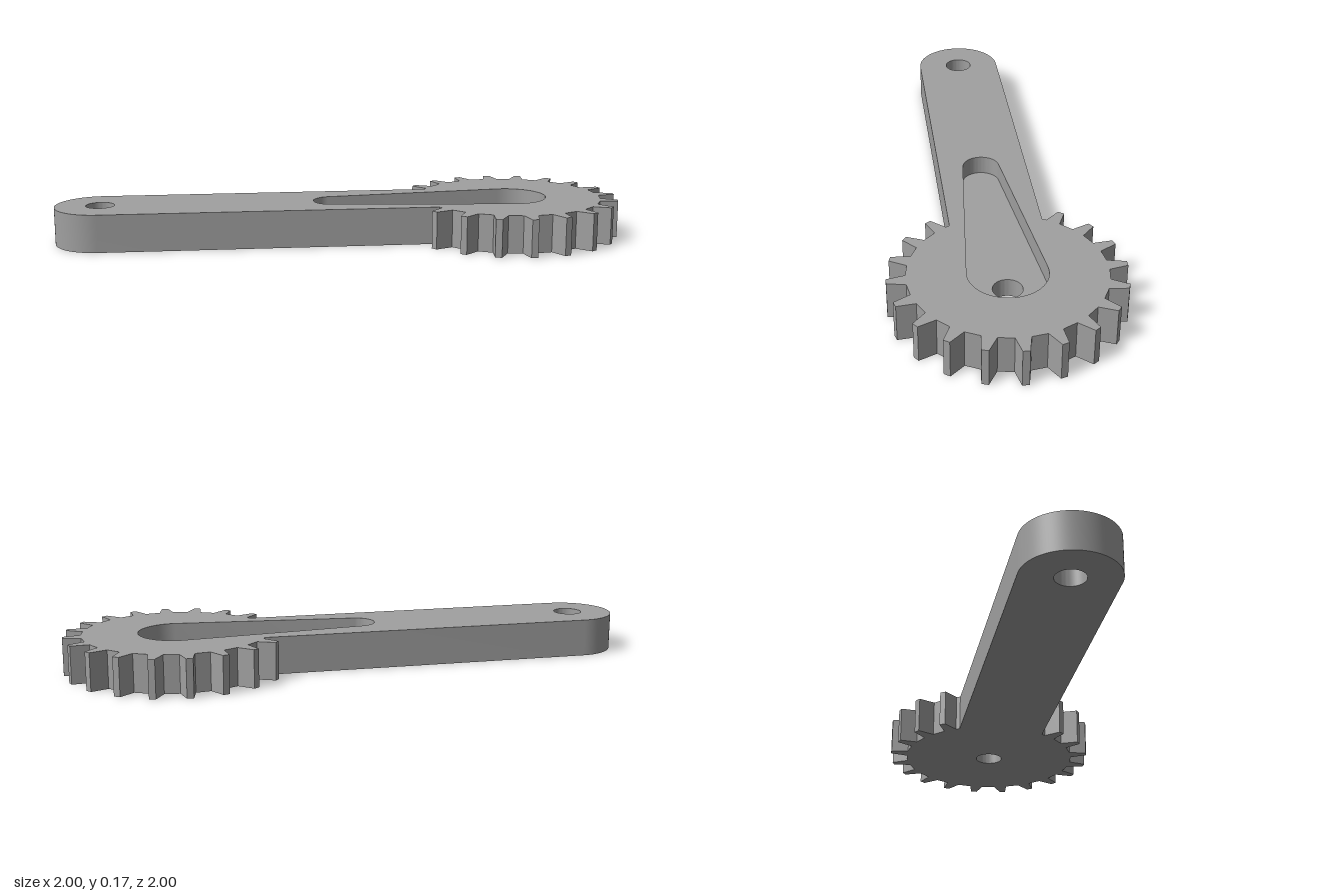
import * as THREE from 'three';
import { toCreasedNormals } from 'three/addons/utils/BufferGeometryUtils.js';

const THICKNESS = 0.167;
const FLOOR = 0.083;
const BORE = 0.063;
const GEAR = new THREE.Vector2(0.51, 0.515);
const PIVOT = new THREE.Vector2(-0.8, -0.795);
const SLOT_END = new THREE.Vector2(-0.065, -0.07);
const rad = THREE.MathUtils.degToRad;

const polar = (c, r, deg) =>
  new THREE.Vector2(c.x + r * Math.cos(rad(deg)), c.y + r * Math.sin(rad(deg)));

function arc(c, r, from, to, n = 40) {
  return Array.from({ length: n + 1 }, (_, i) => polar(c, r, from + ((to - from) * i) / n));
}

// Gear rim joined to the rounded arm, as one outline
function bodyOutline() {
  const root = 0.413, tip = 0.492, half = 0.2;
  const pts = [];
  const join = THREE.MathUtils.radToDeg(Math.asin(half / root));
  pts.push(polar(GEAR, root, 225 + join));
  for (let i = 0; i < 17; i++) {
    const a = 261 + i * 18;
    pts.push(
      polar(GEAR, root, a - 4.4), polar(GEAR, tip, a - 1.7),
      polar(GEAR, tip, a + 1.7), polar(GEAR, root, a + 4.4)
    );
  }
  pts.push(polar(GEAR, root, 225 - join));
  pts.push(...arc(PIVOT, half, 135, 315, 48));
  return pts;
}

// Tapered slot: two circles joined by their common tangents
function slotOutline() {
  const R = 0.167, r = 0.083;
  const d = SLOT_END.clone().sub(GEAR);
  const dir = THREE.MathUtils.radToDeg(Math.atan2(d.y, d.x));
  const open = THREE.MathUtils.radToDeg(Math.acos((R - r) / d.length()));
  return [
    ...arc(GEAR, R, dir + open, dir + 360 - open, 48),
    ...arc(SLOT_END, r, dir - open, dir + open, 32)
  ];
}

function plate(outline, holes, height) {
  const shape = new THREE.Shape(outline);
  for (const h of holes) shape.holes.push(new THREE.Path(h));
  const geo = new THREE.ExtrudeGeometry(shape, { depth: height, bevelEnabled: false });
  geo.rotateX(-Math.PI / 2);
  return toCreasedNormals(geo, rad(20));
}

export function createModel() {
  const model = new THREE.Group();
  model.name = 'gearArm';
  const grey = new THREE.MeshStandardMaterial({ color: 0xa0a0a0 });
  grey.name = 'grey';

  const add = (name, geo) => {
    const mesh = new THREE.Mesh(geo, grey);
    mesh.name = name;
    model.add(mesh);
  };

  const slot = slotOutline();
  const bore = (c) => arc(c, BORE, 0, 360 - 360 / 48, 47);

  // Arm and gear, open at the slot and the pivot hole
  add('armAndGear', plate(bodyOutline(), [slot, bore(PIVOT)], THICKNESS));
  // Slot floor with the gear's shaft hole
  add('slotFloor', plate(slot, [bore(GEAR)], FLOOR));

  return model;
}
